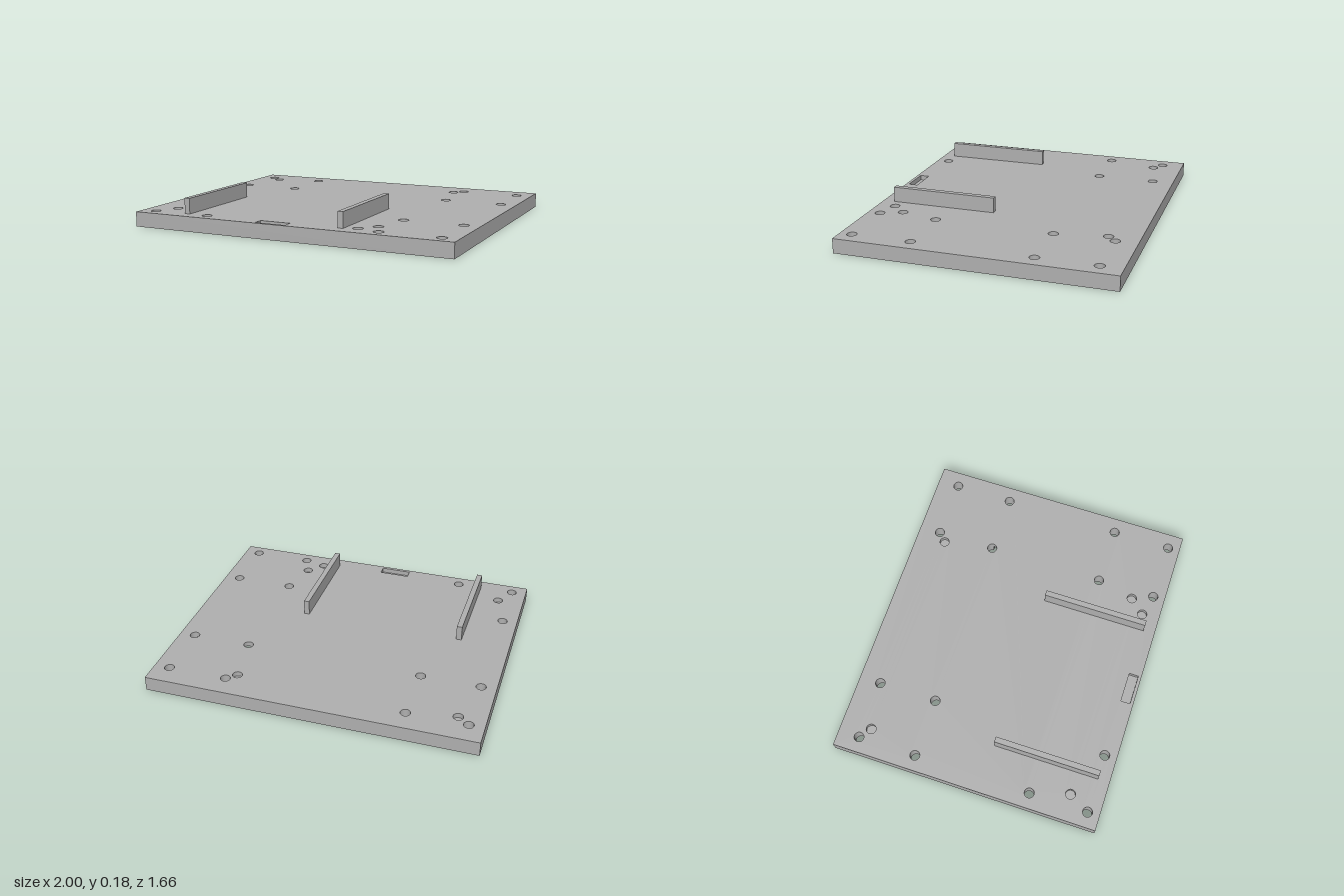
import * as THREE from 'three';

const W = 1, D = 0.83, TOP = 0.09, MID = 0.06, R = 0.03;

// Points are (x, z) pairs seen from above; angles in quarter turns
function arc(x, z, from, to, steps = 32) {
  const pts = [];
  for (let i = 0; i <= steps; i++) {
    const a = (from + (to - from) * i / steps) * Math.PI / 2;
    pts.push(new THREE.Vector2(x + R * Math.cos(a), z + R * Math.sin(a)));
  }
  return pts;
}
const circle = ([x, z]) => arc(x, z, 0, 4).slice(0, -1);
const rect = (x0, x1, z0, z1) =>
  [[x0, z0], [x1, z0], [x1, z1], [x0, z1]].map(p => new THREE.Vector2(...p));

// Flat horizontal face with holes, facing up or down
function face(outline, holes, y, up) {
  const s = up ? -1 : 1;
  const map = pts => pts.map(p => new THREE.Vector2(p.x, s * p.y));
  const shape = new THREE.Shape(map(outline));
  shape.holes = holes.map(h => new THREE.Path(map(h)));
  return new THREE.ShapeGeometry(shape).rotateX(s * Math.PI / 2).translate(0, y, 0);
}

// Vertical wall along a closed outline
function wall(outline, y0, y1) {
  const pos = [];
  outline.forEach((a, i) => {
    const b = outline[(i + 1) % outline.length];
    pos.push(a.x, y0, a.y, a.x, y1, a.y, b.x, y1, b.y,
      a.x, y0, a.y, b.x, y1, b.y, b.x, y0, b.y);
  });
  const g = new THREE.BufferGeometry();
  g.setAttribute('position', new THREE.Float32BufferAttribute(pos, 3));
  g.computeVertexNormals();
  return g;
}

export function createModel() {
  const model = new THREE.Group();
  model.name = 'mountingPlate';
  const grey = new THREE.MeshStandardMaterial({ color: 0xb0b0b0, side: THREE.DoubleSide });
  grey.name = 'plainGrey';
  const add = (name, geometry) => {
    const mesh = new THREE.Mesh(geometry, grey);
    mesh.name = name;
    model.add(mesh);
    return mesh;
  };

  // Through holes in a grid with one position left out; two meet the pocket corners
  const xs = [-0.908, -0.547, 0.544, 0.905], zs = [-0.697, -0.335, 0.392, 0.755];
  const plain = [], corner = [];
  xs.forEach((x, i) => zs.forEach((z, j) => {
    if (i === 1 && j === 2) return;
    (i > 1 && j === 1 ? corner : plain).push(circle([x, z]));
  }));

  // Blind holes and the small slot, open at the top
  const blind = [[-0.838, -0.645], [0.489, -0.645], [-0.838, 0.628], [0.489, 0.628], [0.406, 0.72]]
    .map(circle);
  const slot = rect(-0.188, 0, 0.752, 0.81);
  const recesses = [...blind, slot];

  // Square pocket underneath
  const [x0, x1, z0, z1] = [xs[2], xs[3], zs[1], 0.025];
  const back = [new THREE.Vector2(x1, z1), new THREE.Vector2(x0, z1)];
  const pocketRim = [...arc(x0, z0, 1, 4), ...arc(x1, z0, 2, 5), ...back];
  const pocketRoof = [...arc(x0, z0, 1, 0), ...arc(x1, z0, 2, 1), ...back];

  // Plate skin
  const border = rect(-W, W, -D, D);
  add('plateTop', face(border, [...plain, ...corner, ...recesses], TOP, true));
  add('plateBottom', face(border, [...plain, pocketRim], 0, false));
  add('plateSides', wall(border, 0, TOP));

  // Hole, slot and pocket interiors
  plain.forEach(h => add('throughHole', wall(h, 0, TOP)));
  corner.forEach(h => add('pocketCornerHole', wall(h, MID, TOP)));
  recesses.forEach(h => {
    const name = h === slot ? 'slot' : 'blindHole';
    add(name + 'Wall', wall(h, MID, TOP));
    add(name + 'Floor', face(h, [], MID, true));
  });
  add('pocketWall', wall(pocketRim, 0, MID));
  add('pocketRoof', face(pocketRoof, [], MID, false));
  // Ledges where the corner holes widen the pocket are left open to the holes

  // Two upright rails
  for (const x of [-0.683, 0.316]) {
    add('rail', new THREE.BoxGeometry(0.034, 0.094, 0.655)).position.set(x, TOP + 0.047, 0.43);
  }
  return model;
}
